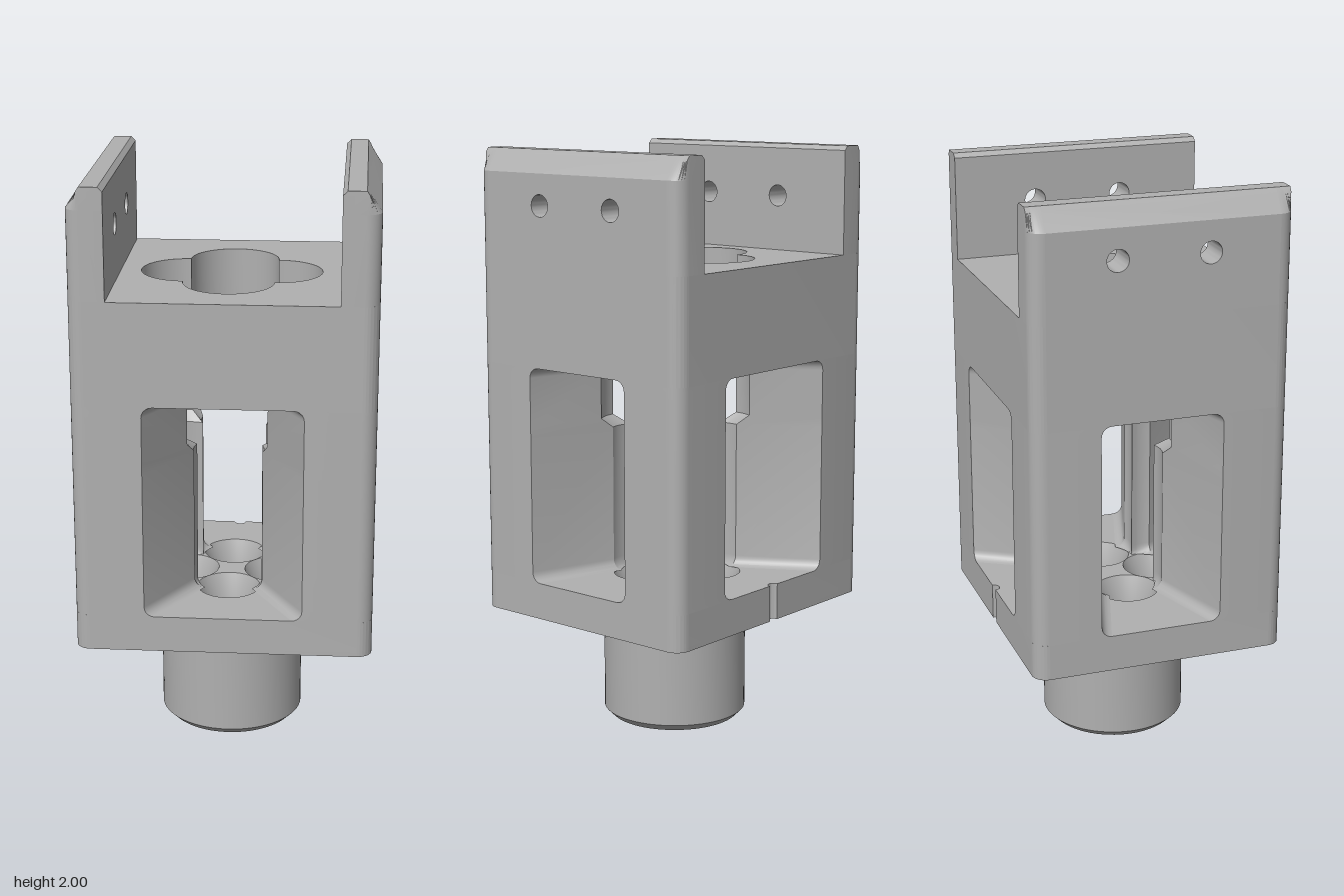
import * as THREE from 'three';
import { toCreasedNormals } from 'three/addons/utils/BufferGeometryUtils.js';

const W = 0.5, D = 0.44, R = 0.05;            // body half width, half depth, corner radius
const OFF = 0.155;                            // distance of each bore from the centre
const BASE = 0.415, FLOOR = 0.54, CEIL = 1.28, DECK = 1.63, SHOULDER = 1.925, TOP = 2;
const BORES = [[OFF, 0], [0, OFF], [-OFF, 0], [0, -OFF]];

const steel = new THREE.MeshStandardMaterial({ color: 0xb0b0b0, side: THREE.DoubleSide });
steel.name = 'machined grey';

function part(name, geometry, parent) {
  const mesh = new THREE.Mesh(toCreasedNormals(geometry, 0.5), steel);
  mesh.name = name;
  parent.add(mesh);
  return mesh;
}

// Rounded rectangle of the body, optionally with the small groove in the back
function outline(notch) {
  const s = new THREE.Shape();
  s.moveTo(-W + R, -D);
  s.lineTo(W - R, -D);
  s.absarc(W - R, -D + R, R, -Math.PI / 2, 0);
  s.absarc(W - R, D - R, R, 0, Math.PI / 2);
  if (notch) s.absarc(0, D, 0.02, 0, Math.PI, true);
  s.absarc(-W + R, D - R, R, Math.PI / 2, Math.PI);
  s.absarc(-W + R, -D + R, R, Math.PI, Math.PI * 1.5);
  return s;
}

function circle(x, y, r, Type = THREE.Path) {
  return new Type().absarc(x, y, r, 0, Math.PI * 2);
}

// Horizontal slab between two heights
function slab(shape, y0, y1) {
  const g = new THREE.ExtrudeGeometry(shape, { depth: y1 - y0, bevelEnabled: false, curveSegments: 20 });
  return g.rotateX(-Math.PI / 2).translate(0, y0, 0);
}

// Solid through horizontal sections; each level is { y, pts: [Vector2(x, z)...] }
function loft(levels) {
  const pos = [];
  const flip = THREE.ShapeUtils.area(levels[0].pts) < 0;
  const rings = levels.map(({ y, pts }) => {
    const ring = pts.map(p => [p.x, y, p.y]);
    return flip ? ring.reverse() : ring;
  });
  const n = rings[0].length;
  for (let k = 0; k < rings.length - 1; k++) {
    for (let i = 0; i < n; i++) {
      const j = (i + 1) % n, a = rings[k], b = rings[k + 1];
      pos.push(...a[i], ...b[i], ...a[j], ...a[j], ...b[i], ...b[j]);
    }
  }
  const cap = (ring, up) => {
    const flat = ring.map(p => new THREE.Vector2(p[0], p[2]));
    for (const [a, b, c] of THREE.ShapeUtils.triangulateShape(flat, [])) {
      pos.push(...ring[a], ...ring[up ? c : b], ...ring[up ? b : c]);
    }
  };
  cap(rings[0], false);
  cap(rings[rings.length - 1], true);
  const g = new THREE.BufferGeometry();
  g.setAttribute('position', new THREE.Float32BufferAttribute(pos, 3));
  g.computeVertexNormals();
  return g;
}

// Rounded outer corner, from the side face round to the front face
function cornerArc() {
  const pts = [];
  for (let i = 0; i <= 8; i++) {
    const a = i / 8 * Math.PI / 2;
    pts.push(new THREE.Vector2(W - R + R * Math.cos(a), D - R + R * Math.sin(a)));
  }
  return pts;
}

// Corner column section: splayed window walls meeting two bore arcs at a cusp
function columnSection(r, frontDeg, sideDeg, inset) {
  const cusp = OFF / 2 + Math.sqrt((r * r - OFF * OFF / 2) / 2);
  const end = Math.atan2(cusp - OFF, cusp), N = 8;
  const pts = [new THREE.Vector2(0.265 - inset, D)];
  for (let i = 0; i <= N; i++) {
    const a = THREE.MathUtils.lerp(THREE.MathUtils.degToRad(frontDeg), end, i / N);
    pts.push(new THREE.Vector2(r * Math.cos(a) - inset * (1 - i / N), OFF + r * Math.sin(a)));
  }
  for (let i = 1; i <= N; i++) {
    const a = THREE.MathUtils.lerp(end, THREE.MathUtils.degToRad(sideDeg), i / N);
    pts.push(new THREE.Vector2(OFF + r * Math.sin(a), r * Math.cos(a) - inset * i / N));
  }
  pts.push(new THREE.Vector2(W, 0.21 - inset), ...cornerArc());
  return pts;
}

function columnGeometry() {
  const lower = f => columnSection(0.12, 13, 19.5, f);
  const upper = f => columnSection(0.152, 27, 34.5, f);
  const levels = [], top = [], fillet = 0.035;
  for (let i = 0; i <= 5; i++) {
    const a = i / 5 * Math.PI / 2;
    const f = fillet * (1 - Math.sin(a)), h = fillet * (1 - Math.cos(a));
    levels.push({ y: FLOOR + h, pts: lower(f) });
    top.unshift({ y: CEIL - h, pts: upper(f) });
  }
  levels.push({ y: 1.045, pts: lower(0) }, { y: 1.08, pts: upper(0) }, ...top);
  return loft(levels);
}

// Upright side plate with two pin holes, rounded edges and a chamfered top
function sidePlate(sign) {
  const plate = new THREE.Group();
  plate.name = sign > 0 ? 'leftPlate' : 'rightPlate';
  const inner = 0.375, flat = D - R;
  const face = new THREE.Shape();
  face.moveTo(-flat, DECK);
  face.lineTo(flat, DECK);
  face.lineTo(flat, SHOULDER);
  face.lineTo(-flat, SHOULDER);
  for (const z of [-OFF, OFF]) face.holes.push(circle(z, 1.82, 0.037));
  const g = new THREE.ExtrudeGeometry(face, { depth: W - inner, bevelEnabled: false, curveSegments: 16 });
  part('plateFace', g.rotateY(Math.PI / 2).translate(inner, 0, 0), plate);

  const edge = [new THREE.Vector2(inner, flat), ...cornerArc(), new THREE.Vector2(inner, D)];
  for (const s of [1, -1]) {
    part('plateEdge', loft([{ y: DECK, pts: edge }, { y: SHOULDER, pts: edge }]), plate).scale.z = s;
  }

  const arc = cornerArc();
  const back = arc.map(p => new THREE.Vector2(p.x, -p.y)).reverse();
  const full = [new THREE.Vector2(inner, -D), ...back, ...arc, new THREE.Vector2(inner, D)];
  const clipped = (y, lo, hi) => ({ y, pts: full.map(p => new THREE.Vector2(THREE.MathUtils.clamp(p.x, lo, hi), p.y)) });
  part('plateTop', loft([
    clipped(SHOULDER, inner, W),
    clipped(1.985, inner, 0.46),
    clipped(TOP, 0.39, 0.45),
  ]), plate);
  plate.scale.x = sign;
  return plate;
}

export function createModel() {
  const model = new THREE.Group();
  model.name = 'toolHolder';

  // Base slab: narrow bores underneath, wide funnel mouths on top
  for (const [name, r, y0, y1] of [['baseUnderside', 0.07, BASE, 0.43], ['baseFloor', 0.109, 0.43, FLOOR]]) {
    const s = outline(true);
    for (const [x, z] of BORES) s.holes.push(circle(x, z, r));
    part(name, slab(s, y0, y1), model);
  }

  // Four corner columns between the windows
  const column = columnGeometry();
  for (const sx of [1, -1]) {
    for (const sz of [1, -1]) part('cornerColumn', column, model).scale.set(sx, 1, sz);
  }

  // Upper block with the four-lobed well
  const block = outline(false), lobes = new THREE.Path(), lobeR = 0.152;
  const cusp = OFF / 2 + Math.sqrt((lobeR * lobeR - OFF * OFF / 2) / 2);
  const half = Math.atan2(cusp, cusp - OFF);
  BORES.forEach(([x, z], k) => lobes.absarc(x, z, lobeR, k * Math.PI / 2 - half, k * Math.PI / 2 + half));
  block.holes.push(lobes);
  part('upperBlock', slab(block, CEIL, DECK), model);

  // Side plates
  for (const s of [1, -1]) model.add(sidePlate(s));

  // Round shank with chamfered end
  const shank = [[0.225, 0], [W / 2, 0.025], [W / 2, BASE]].map(p => new THREE.Vector2(...p));
  part('shank', new THREE.LatheGeometry(shank, 64), model);
  const end = circle(0, 0, 0.225, THREE.Shape);
  for (const [x, z] of BORES) end.holes.push(circle(x, z, 0.033));
  part('shankEnd', new THREE.ShapeGeometry(end, 32).rotateX(Math.PI / 2), model);

  // Stepped bores running from the window floor through the shank
  const bore = [[0.109, FLOOR], [0.07, 0.43], [0.07, 0.4], [0.055, 0.38], [0.055, 0.12], [0.033, 0.11], [0.033, 0]]
    .map(p => new THREE.Vector2(...p));
  for (const [x, z] of BORES) {
    part('bore', new THREE.LatheGeometry(bore, 40), model).position.set(x, 0, z);
  }
  return model;
}
